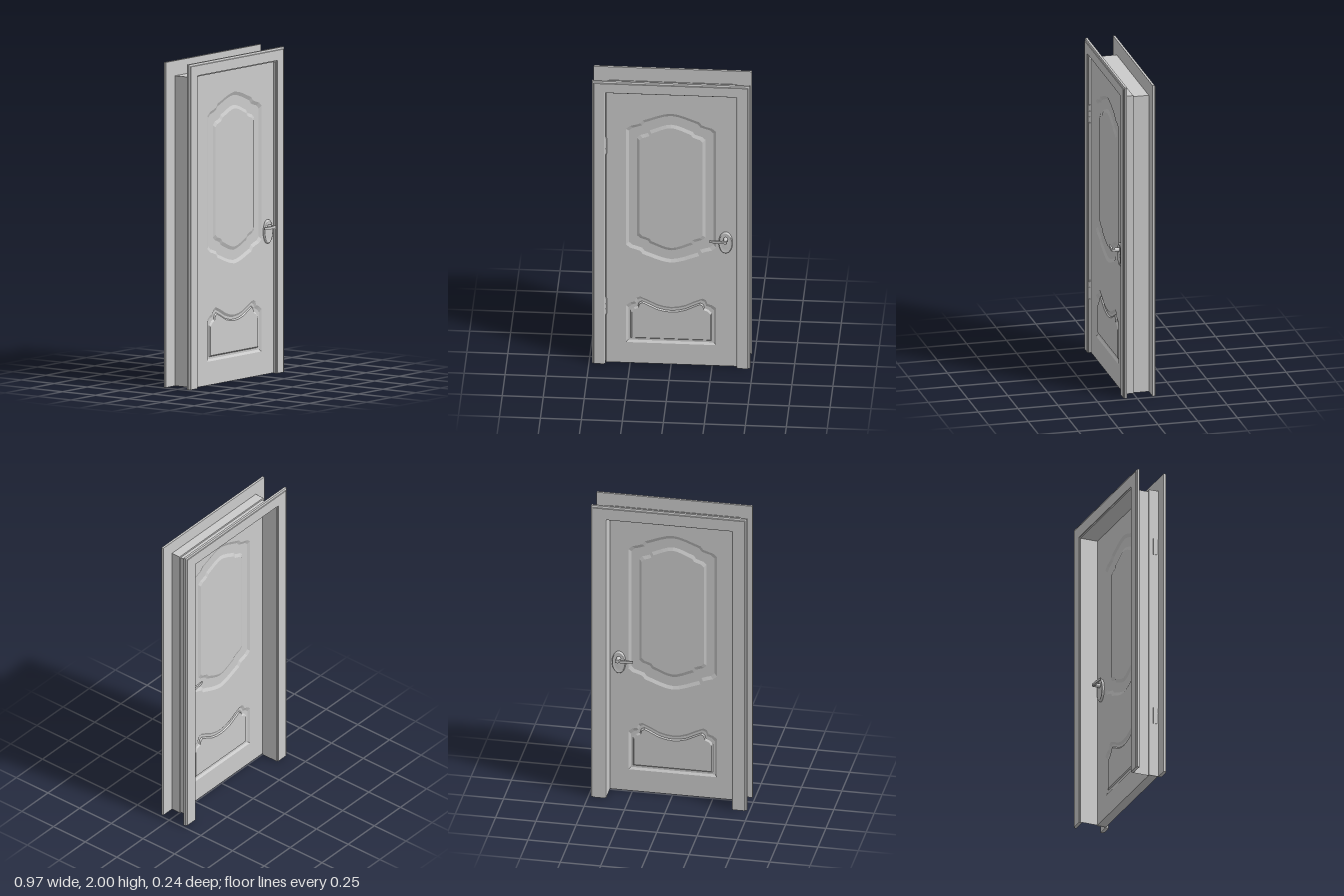
import * as THREE from 'three';

const grey = new THREE.MeshStandardMaterial({ color: 0xcccccc, side: THREE.DoubleSide });

function add(parent, name, geometry, x = 0, y = 0, z = 0) {
  const mesh = new THREE.Mesh(geometry, grey);
  mesh.name = name;
  mesh.position.set(x, y, z);
  parent.add(mesh);
  return mesh;
}

// Flat-shaded skin over a list of equal-length rings of [x, y, z]
function loft(rings, closed, capEnds = false) {
  const pos = [];
  const tri = (a, b, c) => pos.push(...a, ...b, ...c);
  for (let r = 0; r < rings.length - 1; r++) {
    const a = rings[r], b = rings[r + 1], n = a.length;
    for (let i = 0; i < (closed ? n : n - 1); i++) {
      const j = (i + 1) % n;
      tri(a[i], a[j], b[j]);
      tri(a[i], b[j], b[i]);
    }
  }
  if (capEnds) {
    const first = rings[0], last = rings[rings.length - 1];
    for (let i = 1; i < first.length - 1; i++) {
      tri(first[0], first[i + 1], first[i]);
      tri(last[0], last[i], last[i + 1]);
    }
  }
  const g = new THREE.BufferGeometry();
  g.setAttribute('position', new THREE.Float32BufferAttribute(pos, 3));
  g.computeVertexNormals();
  return g;
}

// Sweep a profile of [outward offset, z] up, over and down the doorway with mitred corners
function sweepFrame(profile, halfWidth, height, closed) {
  const corners = [[-1, 0], [-1, 1], [1, 1], [1, 0]];
  const rings = corners.map(([side, top]) =>
    profile.map(([u, z]) => [side * (halfWidth + u), top ? height + u : 0, z]));
  return loft(rings, closed, closed);
}

// Panel outlines, counter-clockwise, from the right half of the top edge
function topEdge(half) {
  return [...half, ...half.slice(0, -1).reverse().map(([x, y]) => [-x, y])];
}
function archedOutline(half, centreY) {
  const top = topEdge(half);
  return [...top, ...top.map(([x, y]) => [-x, -y])].map(([x, y]) => [x, y + centreY]);
}
function dippedOutline(half, bottom) {
  const w = half[0][0];
  return [...topEdge(half), [-w, bottom], [w, bottom]];
}

const upperHalf = [[0.275, 0.41], [0.25, 0.432], [0.215, 0.442], [0.188, 0.452], [0.172, 0.474],
  [0.13, 0.49], [0.085, 0.508], [0.04, 0.522], [0, 0.528]];
const panels = [
  {
    outer: archedOutline(upperHalf, 1.25),
    inner: archedOutline(upperHalf.map(([x, y]) => [x * 0.7, y * 0.805]), 1.25),
    steps: [[0, 0], [0.2, -0.009], [0.8, -0.009], [1, -0.001]],
  },
  {
    outer: dippedOutline([[0.275, 0.41], [0.25, 0.43], [0.222, 0.438], [0.212, 0.465], [0.19, 0.475],
      [0.14, 0.453], [0.09, 0.427], [0.045, 0.413], [0, 0.408]], 0.148),
    inner: dippedOutline([[0.24, 0.36], [0.222, 0.382], [0.2, 0.392], [0.192, 0.42], [0.175, 0.43],
      [0.13, 0.408], [0.085, 0.385], [0.042, 0.374], [0, 0.37]], 0.182),
    steps: [[0, 0], [0.4, -0.009], [0.8, -0.009], [1, -0.002]],
  },
];

const blend = (p, t) => p.outer.map(([x, y], i) =>
  [x + (p.inner[i][0] - x) * t, y + (p.inner[i][1] - y) * t]);
const toVectors = (pts) => pts.map(([x, y]) => new THREE.Vector2(x, y));
const doorEdge = [[-0.398, 0.003], [0.398, 0.003], [0.398, 1.915], [-0.398, 1.915]];

// One moulded side of the door leaf, facing +z
function doorFace(name) {
  const g = new THREE.Group();
  g.name = name;
  const face = new THREE.Shape(toVectors(doorEdge));
  for (const p of panels) face.holes.push(new THREE.Path(toVectors(p.outer)));
  add(g, 'doorSurface', new THREE.ShapeGeometry(face));
  for (const p of panels) {
    add(g, 'panelMoulding', loft(p.steps.map(([t, z]) =>
      blend(p, t).map(([x, y]) => [x, y, z])), true));
    const field = new THREE.ShapeGeometry(new THREE.Shape(toVectors(p.inner)));
    add(g, 'panelField', field, 0, 0, p.steps[3][1]);
  }
  return g;
}

// Oval plate, stem and curved lever, with the door surface at z = 0
function handle(name) {
  const g = new THREE.Group();
  g.name = name;
  const plate = new THREE.LatheGeometry(toVectors([[1, 0], [1, 0.5], [0.94, 0.9], [0.86, 1],
    [0.8, 0.75], [0.5, 0.85], [0, 0.9]]), 40);
  plate.scale(0.043, 0.014, 0.074).rotateX(Math.PI / 2);
  add(g, 'handlePlate', plate, 0.333, 0.88, 0);
  const stem = new THREE.CylinderGeometry(0.012, 0.014, 0.054, 20).rotateX(Math.PI / 2);
  add(g, 'handleStem', stem, 0.333, 0.91, 0.029);
  const s = new THREE.Shape();
  s.moveTo(0.345, 0.04);
  s.lineTo(0.345, 0.059);
  s.lineTo(0.31, 0.059);
  s.quadraticCurveTo(0.27, 0.057, 0.238, 0.049);
  s.lineTo(0.238, 0.045);
  s.quadraticCurveTo(0.28, 0.047, 0.315, 0.047);
  s.lineTo(0.322, 0.04);
  const lever = new THREE.ExtrudeGeometry(s, { depth: 0.016, bevelEnabled: false, curveSegments: 10 });
  add(g, 'handleLever', lever.rotateX(Math.PI / 2), 0, 0.918, 0);
  return g;
}

function hinge(y) {
  const g = new THREE.Group();
  g.name = 'hinge';
  for (let i = -1; i <= 1; i++) {
    add(g, 'hingeKnuckle', new THREE.CylinderGeometry(0.007, 0.007, 0.034, 14), -0.398, y + i * 0.036, 0.066);
  }
  add(g, 'hingePin', new THREE.CylinderGeometry(0.004, 0.004, 0.124, 10), -0.398, y, 0.066);
  add(g, 'hingeLeaf', new THREE.BoxGeometry(0.004, 0.106, 0.032), -0.4, y, 0.042);
  return g;
}

export function createModel() {
  const model = new THREE.Group();
  model.name = 'door';

  // Trim on both sides of the wall
  const trim = (w, zWall, dir) => [[0, 0], [0, 0.013], [0.007, 0.016], [0.007, 0.021], [w - 0.014, 0.021],
    [w - 0.012, 0.017], [w, 0.014], [w, 0]].map(([u, d]) => [u, zWall + dir * d]);
  add(model, 'frontTrim', sweepFrame(trim(0.083, 0.06, 1), 0.4, 1.917, true));
  add(model, 'backTrim', sweepFrame(trim(0.093, -0.1, -1), 0.39, 1.907, true));

  // Thin rebated lining between the trims
  add(model, 'jamb', sweepFrame([[0, 0.062], [0, 0], [-0.01, 0], [-0.01, -0.102]], 0.4, 1.917, false));

  // Door leaf
  const leaf = new THREE.Group();
  leaf.name = 'doorLeaf';
  model.add(leaf);
  const front = doorFace('frontFace'), back = doorFace('backFace');
  front.position.z = 0.06;
  back.position.z = 0.002;
  back.rotation.y = Math.PI;
  leaf.add(front, back);
  add(leaf, 'doorEdge', loft([0.002, 0.06].map((z) => doorEdge.map(([x, y]) => [x, y, z])), true));

  // Hardware
  const frontHandle = handle('frontHandle'), backHandle = handle('backHandle');
  frontHandle.position.z = 0.06;
  backHandle.position.z = 0.002;
  backHandle.scale.z = -1;
  model.add(frontHandle, backHandle, hinge(1.54), hinge(0.405));
  return model;
}
